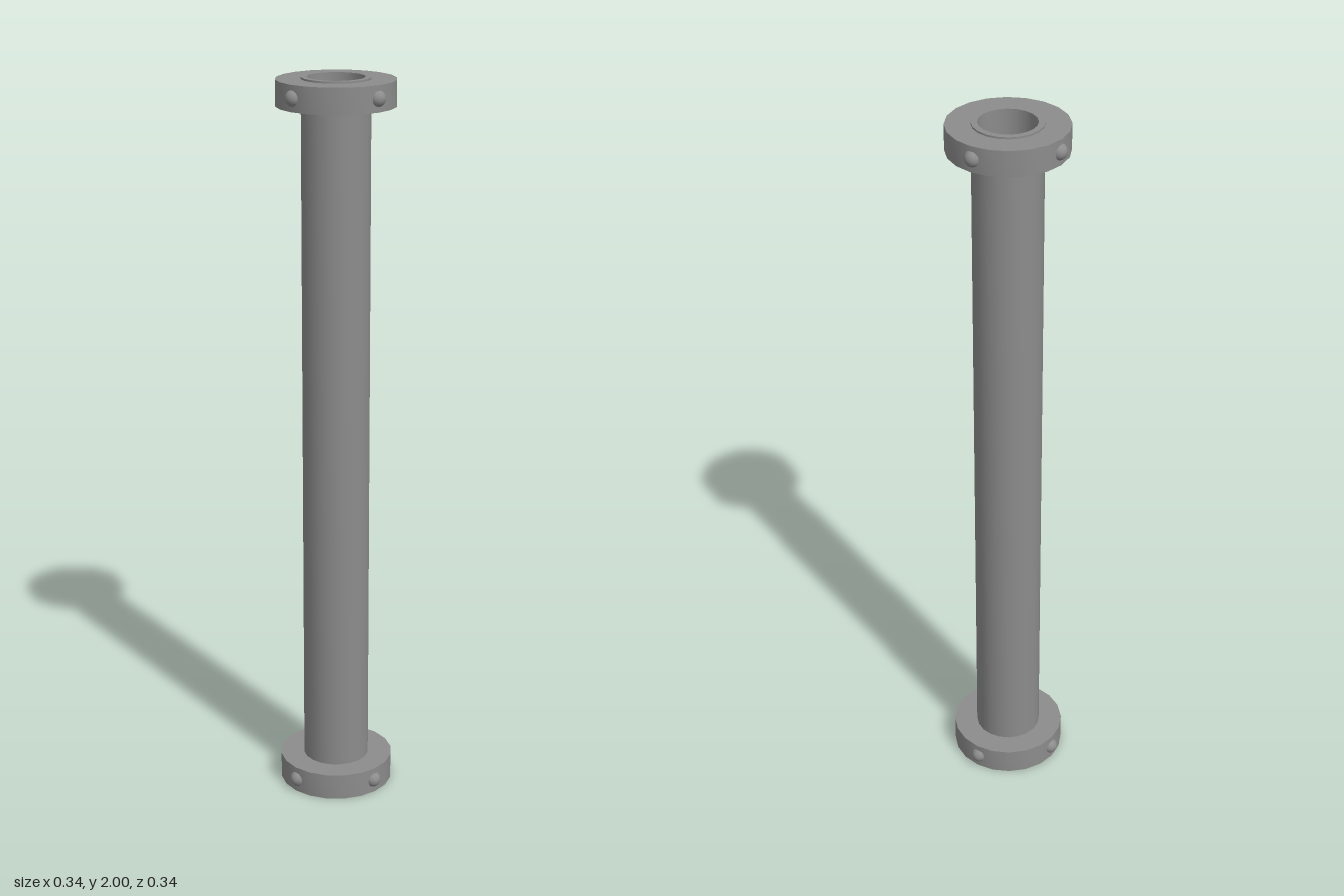
import * as THREE from 'three';
import { toCreasedNormals } from 'three/addons/utils/BufferGeometryUtils.js';

const SIDES = 20;
const BORE = 0.076, PIPE_R = 0.092, FLANGE_R = 0.158;

// Hollow ring: closed rectangular profile turned around y
function ringGeometry(inner, outer, y0, y1) {
  const profile = [[outer, y0], [outer, y1], [inner, y1], [inner, y0], [outer, y0]]
    .map(([r, y]) => new THREE.Vector2(r, y));
  return toCreasedNormals(new THREE.LatheGeometry(profile, SIDES), 0.6);
}

export function createModel() {
  const model = new THREE.Group();
  model.name = 'flangedPipe';
  const steel = new THREE.MeshStandardMaterial({ color: 0x8c8c8c });
  steel.name = 'grey steel';

  const add = (name, geometry, parent = model) => {
    const mesh = new THREE.Mesh(geometry, steel);
    mesh.name = name;
    parent.add(mesh);
    return mesh;
  };

  // Pipe, standing slightly proud of the top flange
  add('pipe', ringGeometry(BORE, PIPE_R, 0.07, 2));

  // Flanges, each with four round bolt heads around the rim
  const boltGeometry = new THREE.SphereGeometry(0.022, 20, 14);
  const flanges = [
    { name: 'bottomFlange', y0: 0, y1: 0.073, inner: BORE },
    { name: 'topFlange', y0: 1.926, y1: 1.995, inner: PIPE_R - 0.004 },
  ];
  for (const { name, y0, y1, inner } of flanges) {
    const flange = new THREE.Group();
    flange.name = name;
    model.add(flange);
    add(name + 'Ring', ringGeometry(inner, FLANGE_R, y0, y1), flange);
    for (let i = 0; i < 4; i++) {
      const a = i * Math.PI / 2;
      add('bolt', boltGeometry, flange)
        .position.set(0.15 * Math.sin(a), (y0 + y1) / 2, 0.15 * Math.cos(a));
    }
  }
  return model;
}
